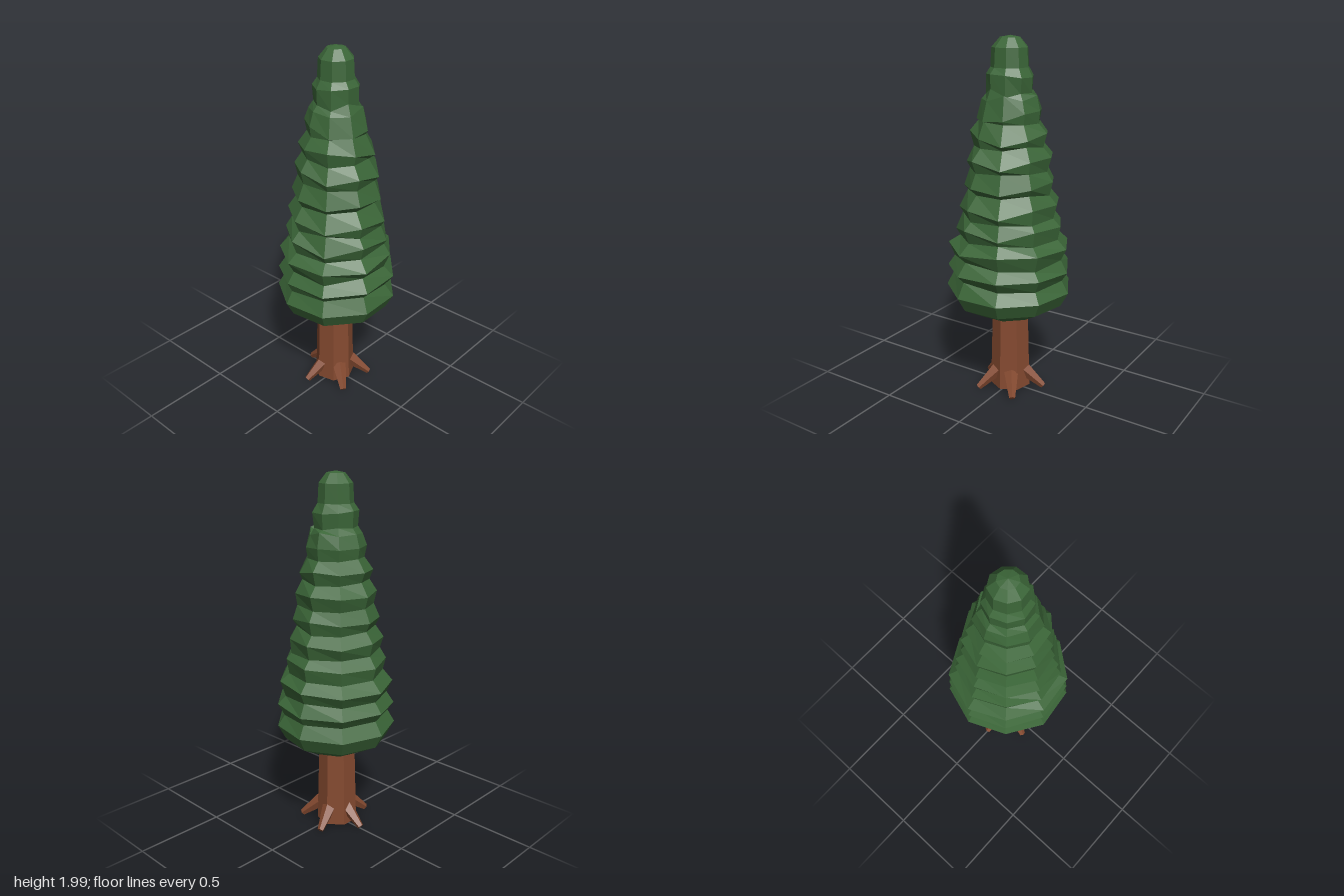
import * as THREE from 'three';

// Reach of the foliage in each of its nine directions, clockwise from the back
const REACH = [1.0, 1.02, 1.0, 0.97, 1.0, 1.03, 1.04, 1.0, 0.96];
const SIDES = REACH.length;

// Small seeded generator for the ragged foliage
function makeRandom(seed) {
  return () => {
    seed = (seed * 16807) % 2147483647;
    return seed / 2147483647;
  };
}

// Foliage outline from bottom to top: [height, radius], alternating lip and tuck
const OUTLINE = [
  [0.483, 0.18], [0.55, 0.3], [0.63, 0.343], [0.7, 0.3],
  [0.75, 0.338], [0.81, 0.292], [0.875, 0.328], [0.935, 0.274],
  [1.0, 0.29], [1.06, 0.25], [1.125, 0.272], [1.185, 0.222],
  [1.24, 0.246], [1.31, 0.213], [1.375, 0.233], [1.44, 0.185],
  [1.5, 0.208], [1.56, 0.16], [1.615, 0.17], [1.69, 0.147],
  [1.72, 0.12], [1.8, 0.126], [1.84, 0.1], [1.94, 0.094], [1.99, 0.052],
];

function foliageGeometry() {
  const random = makeRandom(4711);
  const rings = OUTLINE.map(([y, r], i) => {
    const calm = i < 3 || i > OUTLINE.length - 4;
    const isLip = i % 2 === 0;
    return REACH.map((reach, k) => {
      const a = (k / SIDES) * Math.PI * 2;
      const front = 0.5 - 0.5 * Math.cos(a);
      let radius = r * reach;
      let height = y;
      if (!calm) {
        // tiers are even at the back and broken at the front
        const rough = 0.3 + 0.7 * front;
        radius *= 1 + (random() - 0.5) * 0.08 * rough;
        height += (random() - 0.5) * 0.035 * rough;
        // some lips sag over the tier below
        if (isLip && random() < 0.3 * front) height -= 0.03;
      }
      return [radius * Math.sin(a), height, -radius * Math.cos(a)];
    });
  });
  const positions = [];
  const tri = (a, b, c) => positions.push(...a, ...b, ...c);
  const base = [0, 0.475, 0];
  const tip = [0, 2, 0];
  const top = rings[rings.length - 1];
  for (let k = 0; k < SIDES; k++) {
    const n = (k + 1) % SIDES;
    for (let i = 0; i < rings.length - 1; i++) {
      const lo = rings[i], hi = rings[i + 1];
      tri(lo[k], hi[k], hi[n]);
      tri(lo[k], hi[n], lo[n]);
    }
    tri(rings[0][k], rings[0][n], base);
    tri(top[n], top[k], tip);
  }
  const geometry = new THREE.BufferGeometry();
  geometry.setAttribute('position', new THREE.Float32BufferAttribute(positions, 3));
  geometry.computeVertexNormals();
  return geometry;
}

export function createModel() {
  const tree = new THREE.Group();
  tree.name = 'coniferTree';
  const bark = new THREE.MeshStandardMaterial({ color: 0x854a30, flatShading: true });
  const needles = new THREE.MeshStandardMaterial({ color: 0x3b6638, flatShading: true });

  // Foliage
  const foliage = new THREE.Mesh(foliageGeometry(), needles);
  foliage.name = 'foliage';
  tree.add(foliage);

  // Trunk, slightly flared at the foot
  const trunk = new THREE.Mesh(new THREE.CylinderGeometry(0.102, 0.116, 0.5, 7), bark);
  trunk.name = 'trunk';
  trunk.position.set(-0.003, 0.266, -0.009);
  tree.add(trunk);

  // Five tapered roots, one pointing straight back
  const roots = new THREE.Group();
  roots.name = 'roots';
  const inner = new THREE.Vector3(0, 0.115, -0.08);
  const outer = new THREE.Vector3(0, 0.019, -0.198);
  const along = outer.clone().sub(inner);
  const rootGeometry = new THREE.CylinderGeometry(0.018, 0.042, along.length(), 5);
  rootGeometry.applyQuaternion(new THREE.Quaternion().setFromUnitVectors(
    new THREE.Vector3(0, 1, 0), along.clone().normalize()));
  const middle = inner.add(outer).multiplyScalar(0.5);
  rootGeometry.translate(middle.x, middle.y, middle.z);
  for (let i = 0; i < 5; i++) {
    const root = new THREE.Mesh(rootGeometry, bark);
    root.name = 'root' + (i + 1);
    root.rotation.y = (i / 5) * Math.PI * 2;
    roots.add(root);
  }
  tree.add(roots);
  return tree;
}
